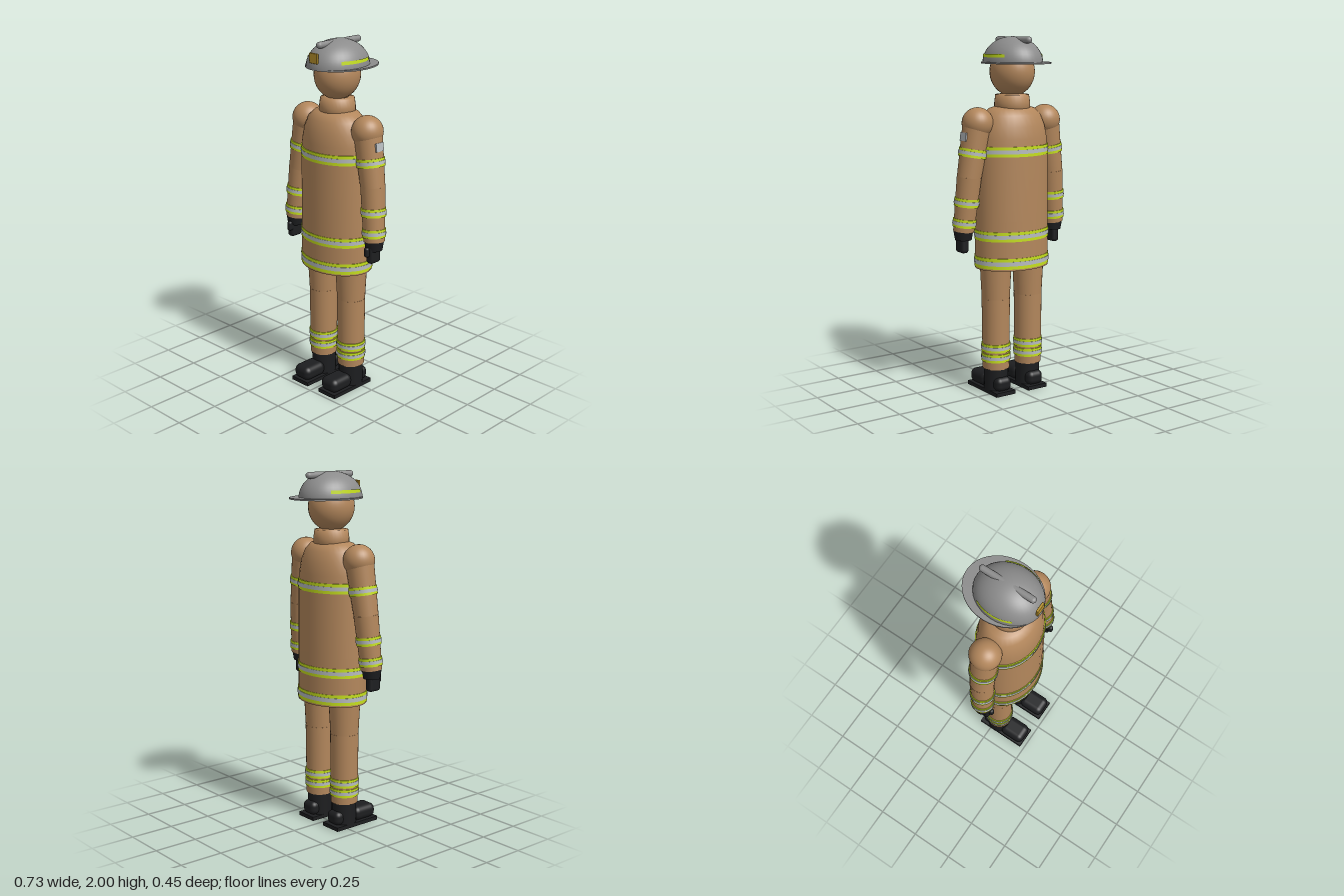
import * as THREE from 'three';
import { RoundedBoxGeometry } from 'three/addons/geometries/RoundedBoxGeometry.js';

const mat = (name, color, side = THREE.FrontSide) => {
  const m = new THREE.MeshStandardMaterial({ color, side });
  m.name = name;
  return m;
};

export function createModel() {
  const tan = mat('tan', 0xb3875c, THREE.DoubleSide);
  const lime = mat('lime', 0xc6e01e, THREE.DoubleSide);
  const silver = mat('silver', 0xb8bcc0);
  const grey = mat('grey', 0x8c8c8c);
  const gold = mat('gold', 0xb8922c);
  const black = mat('black', 0x1d1e20);

  const model = new THREE.Group();
  model.name = 'firefighter';
  const CZ = 0.027; // depth of the body axis
  const V = (x, y, z) => new THREE.Vector3(x, y, z);

  const add = (parent, name, geo, material, x = 0, y = 0, z = 0) => {
    const mesh = new THREE.Mesh(geo, material);
    mesh.name = name;
    mesh.position.set(x, y, z);
    parent.add(mesh);
    return mesh;
  };
  const lathe = (pts, start = 0, length = Math.PI * 2) =>
    new THREE.LatheGeometry(pts.map(p => new THREE.Vector2(...p)), 32, start, length);
  const ellipsoid = (x, y, z) => new THREE.SphereGeometry(1, 32, 24).scale(x, y, z);

  // Reflective band: a lime ring with a silver stripe round its middle
  const band = (parent, r, h, depth = 1) => {
    const g = new THREE.Group();
    g.name = 'reflectiveBand';
    add(g, 'limeTape', new THREE.CylinderGeometry(r, r, h, 32).scale(1, 1, depth), lime);
    const s = r + 0.002;
    add(g, 'silverTape', new THREE.CylinderGeometry(s, s, h * 0.4, 32).scale(1, 1, depth), silver);
    parent.add(g);
    return g;
  };

  // Tapered limb from top point a to bottom point b, with bands at given heights
  const limb = (parent, name, a, b, ra, rb, bands = []) => {
    const axis = a.clone().sub(b);
    const turn = new THREE.Quaternion().setFromUnitVectors(V(0, 1, 0), axis.clone().normalize());
    const mesh = add(parent, name, new THREE.CylinderGeometry(ra, rb, axis.length(), 28), tan);
    mesh.position.copy(a).add(b).multiplyScalar(0.5);
    mesh.quaternion.copy(turn);
    for (const y of bands) {
      const t = (a.y - y) / (a.y - b.y);
      const ring = band(parent, ra + (rb - ra) * t + 0.005, 0.046);
      ring.position.lerpVectors(a, b, t);
      ring.quaternion.copy(turn);
    }
  };

  // Coat with hem, bands and collar
  const coat = new THREE.Group();
  coat.name = 'coat';
  model.add(coat);
  const DEPTH = 0.773;
  const body = lathe([[0.221, 0.725], [0.219, 1.0], [0.216, 1.35], [0.21, 1.45], [0.197, 1.515],
    [0.172, 1.575], [0.135, 1.61], [0.08, 1.625]]).scale(1, 1, DEPTH);
  add(coat, 'coatBody', body, tan, 0, 0, CZ + 0.003);
  add(coat, 'hem', new THREE.CircleGeometry(0.221, 32).rotateX(Math.PI / 2).scale(1, 1, DEPTH),
    tan, 0, 0.727, CZ + 0.003);
  for (const [y, r, h] of [[1.382, 0.219, 0.055], [0.915, 0.223, 0.054], [0.765, 0.224, 0.06]])
    band(coat, r, h, DEPTH).position.set(0, y, CZ + 0.003);
  add(coat, 'collar', lathe([[0.088, 1.59], [0.099, 1.615], [0.099, 1.64], [0.093, 1.685], [0.06, 1.69]]),
    tan, 0, 0, CZ - 0.004);

  // Head
  add(model, 'head', ellipsoid(0.121, 0.135, 0.133), tan, 0, 1.81, 0.023);

  // Helmet
  const helmet = new THREE.Group();
  helmet.name = 'helmet';
  helmet.position.set(0, 1.858, 0.018);
  model.add(helmet);
  const dome = new THREE.SphereGeometry(1, 36, 14, 0, Math.PI * 2, 0, Math.PI / 2);
  add(helmet, 'dome', dome.scale(0.155, 0.142, 0.187), grey);
  add(helmet, 'brim', new THREE.CylinderGeometry(0.18, 0.18, 0.008, 36).scale(1, 1, 1.19), grey, 0, 0, -0.031);
  add(helmet, 'ridge', new THREE.CapsuleGeometry(0.018, 0.29, 8, 16).rotateX(Math.PI / 2), grey, 0, 0.123, -0.007);
  add(helmet, 'badge', new RoundedBoxGeometry(0.058, 0.054, 0.014, 2, 0.003), gold, 0, 0.06, 0.18);
  for (const s of [1, -1]) {
    const strip = lathe([[0.153, 0.03], [0.151, 0.048]], s * Math.PI / 2 - 0.6, 1.2);
    add(helmet, 'helmetStripe', strip.scale(1, 1, 1.206), lime);
  }

  for (const s of [1, -1]) {
    // Arm: shoulder ball, upper arm, forearm
    const arm = new THREE.Group();
    arm.name = s > 0 ? 'leftArm' : 'rightArm';
    model.add(arm);
    add(arm, 'shoulder', ellipsoid(0.086, 0.086, 0.087), tan, s * 0.225, 1.536, CZ);
    const elbow = V(s * 0.277, 1.235, 0.036);
    limb(arm, 'upperArm', V(s * 0.229, 1.535, CZ), elbow, 0.078, 0.067, [1.375]);
    limb(arm, 'forearm', V(s * 0.276, 1.245, 0.035), V(s * 0.304, 0.945, 0.052), 0.068, 0.058, [1.107, 0.993]);

    // Glove
    const glove = new THREE.Group();
    glove.name = 'glove';
    glove.position.set(s * 0.305, 0, 0.053);
    model.add(glove);
    add(glove, 'gloveCuff', new THREE.CylinderGeometry(0.055, 0.046, 0.055, 24), black, 0, 0.925, 0);
    add(glove, 'palm', new RoundedBoxGeometry(0.046, 0.1, 0.078, 3, 0.016), black, s * 0.003, 0.875, 0.008);
    add(glove, 'thumb', new RoundedBoxGeometry(0.028, 0.055, 0.035, 3, 0.012), black, -s * 0.004, 0.893, 0.05);

    // Leg: thigh and shin
    const leg = new THREE.Group();
    leg.name = s > 0 ? 'leftLeg' : 'rightLeg';
    model.add(leg);
    limb(leg, 'thigh', V(s * 0.11, 0.8, CZ), V(s * 0.11, 0.54, CZ), 0.092, 0.079);
    limb(leg, 'shin', V(s * 0.11, 0.55, CZ), V(s * 0.11, 0.145, CZ), 0.08, 0.076, [0.268, 0.211]);

    // Boot
    const boot = new THREE.Group();
    boot.name = 'boot';
    boot.position.x = s * 0.109;
    model.add(boot);
    add(boot, 'bootShaft', new THREE.CylinderGeometry(0.07, 0.068, 0.13, 24), black, 0, 0.085, CZ);
    add(boot, 'toe', new RoundedBoxGeometry(0.118, 0.082, 0.155, 4, 0.034), black, 0, 0.06, 0.145);
    add(boot, 'heel', new RoundedBoxGeometry(0.1, 0.08, 0.07, 4, 0.03), black, 0, 0.06, -0.032);
    add(boot, 'sole', new THREE.BoxGeometry(0.128, 0.022, 0.301), black, 0, 0.011, 0.0755);
  }

  // Sleeve patch on the left arm
  const patch = add(model, 'sleevePatch', new THREE.BoxGeometry(0.009, 0.046, 0.056), silver, 0.314, 1.467, 0.029);
  patch.rotation.z = 0.12;

  return model;
}
